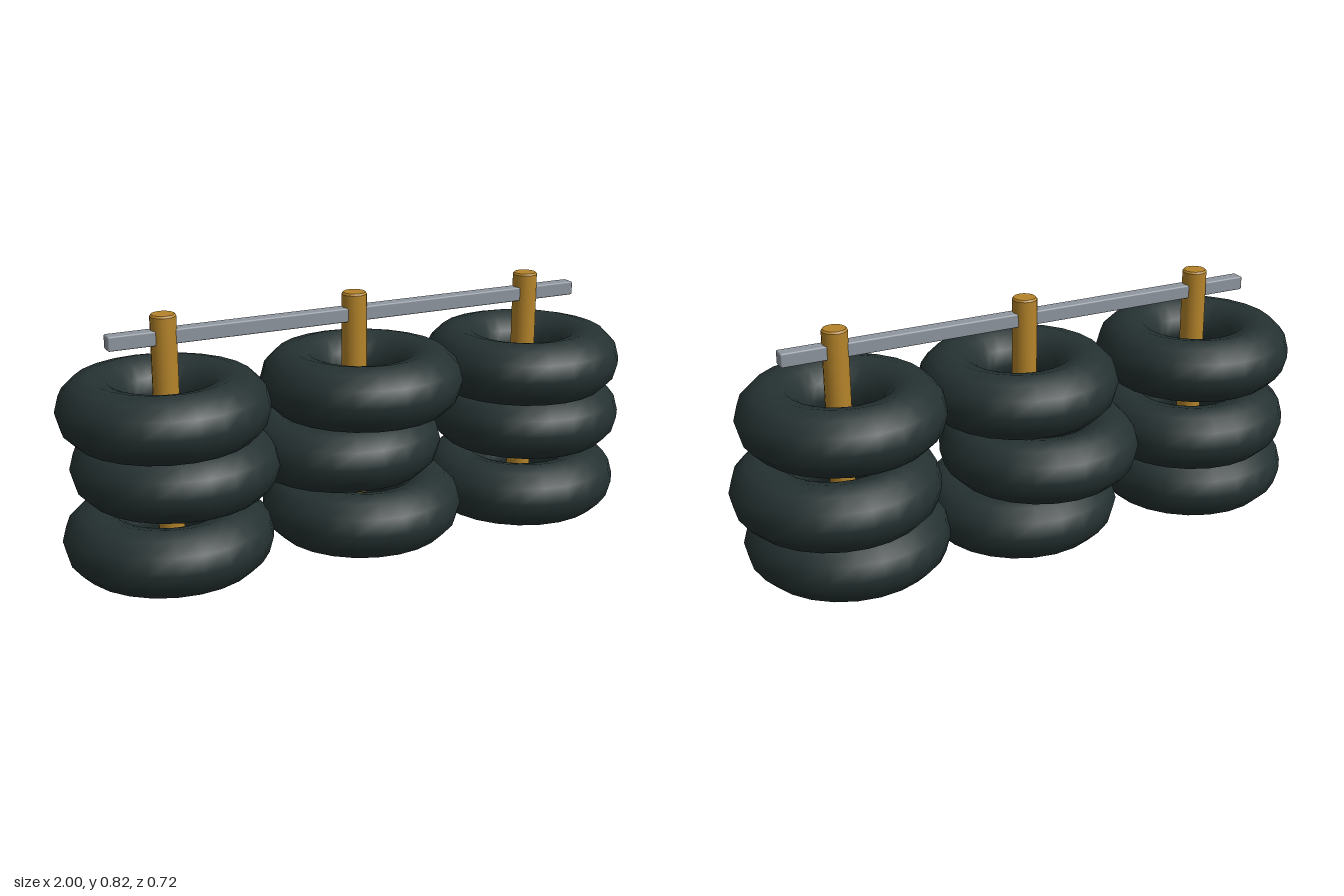
import * as THREE from 'three';
import { RoundedBoxGeometry } from 'three/addons/geometries/RoundedBoxGeometry.js';
import { toCreasedNormals } from 'three/addons/utils/BufferGeometryUtils.js';

const rubber = new THREE.MeshStandardMaterial({ color: 0x253131 });
rubber.name = 'dark rubber';
const wood = new THREE.MeshStandardMaterial({ color: 0xb5842a });
wood.name = 'ochre post';
const steel = new THREE.MeshStandardMaterial({ color: 0x8f969f });
steel.name = 'grey rail';

export function createModel() {
  const model = new THREE.Group();
  model.name = 'tyreBarrier';

  const add = (parent, name, geometry, material, x, y, z) => {
    const mesh = new THREE.Mesh(geometry, material);
    mesh.name = name;
    mesh.position.set(x, y, z);
    parent.add(mesh);
  };

  // Tyre lying flat
  const tyre = new THREE.TorusGeometry(0.226, 0.106, 12, 24).rotateX(Math.PI / 2);

  // Post with small chamfers at both ends
  const profile = [[0, 0], [0.036, 0], [0.041, 0.006], [0.041, 0.817], [0.036, 0.823], [0, 0.823]];
  const post = toCreasedNormals(
    new THREE.LatheGeometry(profile.map(([r, y]) => new THREE.Vector2(r, y)), 16), 0.6);

  // Three stacks; the middle tyre of each is pushed sideways and back
  const stacks = [
    { post: -0.653, tyres: [-0.667, -0.618, -0.667] },
    { post: -0.01, tyres: [0.007, -0.042, 0.007] },
    { post: 0.633, tyres: [0.618, 0.667, 0.618] },
  ];
  stacks.forEach((s, i) => {
    const stack = new THREE.Group();
    stack.name = `stack${i + 1}`;
    s.tyres.forEach((x, layer) => {
      add(stack, `tyre${layer + 1}`, tyre, rubber, x, 0.111 + layer * 0.212, layer === 1 ? -0.028 : 0.028);
    });
    add(stack, 'post', post, wood, s.post, 0, 0.011);
    model.add(stack);
  });

  // Rail running through all posts
  add(model, 'rail', new RoundedBoxGeometry(1.647, 0.046, 0.046, 1, 0.005), steel, -0.011, 0.753, 0.012);

  return model;
}
